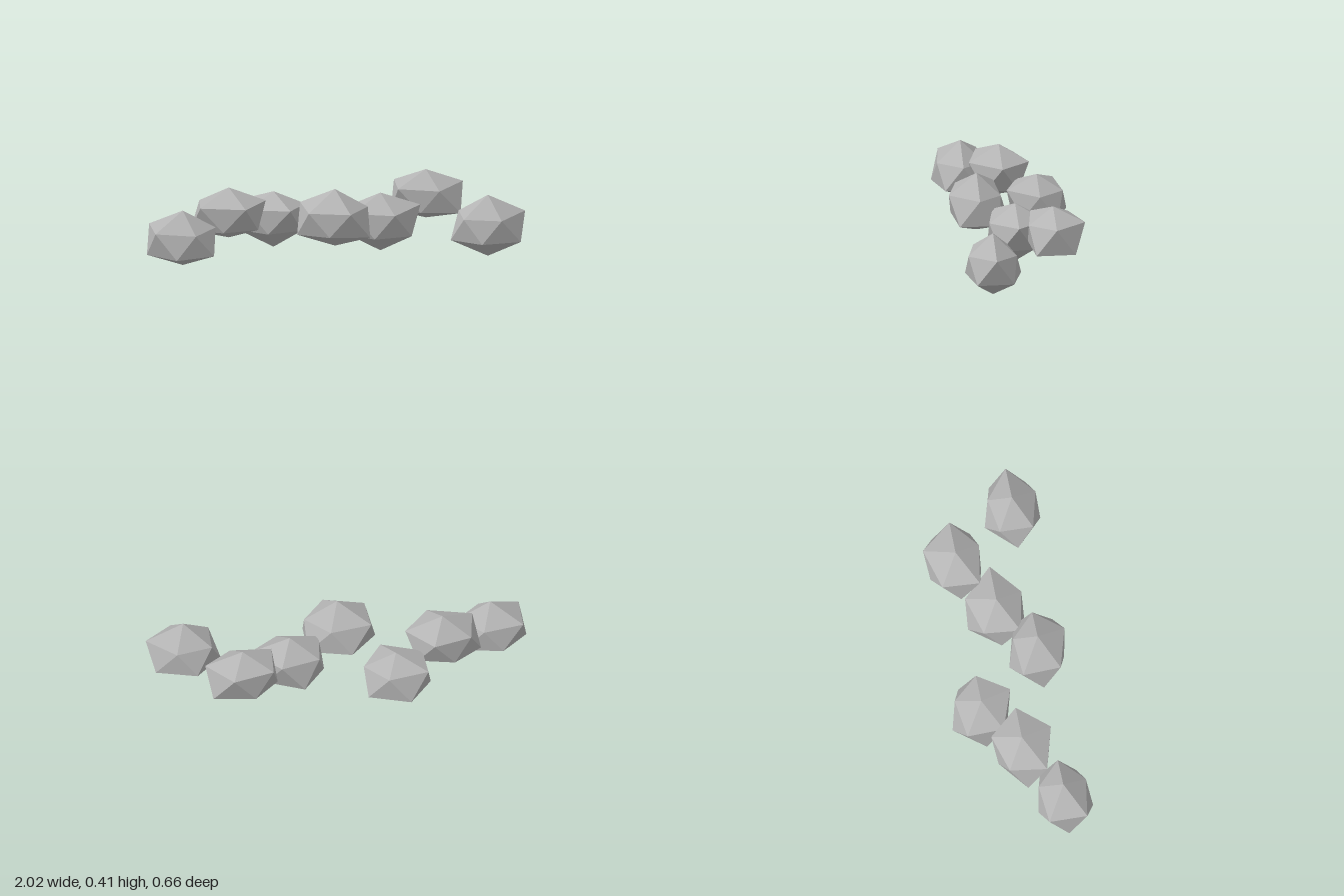
import * as THREE from 'three';

// Each rock: pole x, z, mid height, top y, bottom y,
// upper ring radii (every 72 degrees from +x towards +z), lower ring radii (from 36 degrees)
const ROCKS = [
  { x: -0.83, z: 0.18, mid: 0.17, top: 0.335, bottom: 0.035, up: [0.15, 0.135, 0.172, 0.172, 0.13], low: [0.16, 0.157, 0.164, 0.148, 0.167] },
  { x: -0.555, z: 0.005, mid: 0.243, top: 0.395, bottom: 0.12, up: [0.169, 0.174, 0.18, 0.15, 0.162], low: [0.15, 0.14, 0.175, 0.14, 0.15] },
  { x: -0.287, z: -0.167, mid: 0.17, top: 0.308, bottom: 0.002, up: [0.146, 0.174, 0.16, 0.17, 0.14], low: [0.145, 0.14, 0.158, 0.172, 0.165] },
  { x: -0.017, z: 0.18, mid: 0.243, top: 0.412, bottom: 0.1, up: [0.15, 0.161, 0.165, 0.178, 0.13], low: [0.18, 0.14, 0.173, 0.17, 0.177] },
  { x: 0.255, z: 0.005, mid: 0.172, top: 0.325, bottom: 0.007, up: [0.183, 0.15, 0.175, 0.155, 0.165], low: [0.16, 0.147, 0.155, 0.17, 0.147] },
  { x: 0.527, z: -0.167, mid: 0.243, top: 0.388, bottom: 0.122, up: [0.169, 0.14, 0.175, 0.163, 0.172], low: [0.178, 0.135, 0.16, 0.15, 0.176] },
  { x: 0.8, z: 0.18, mid: 0.17, top: 0.338, bottom: 0.002, up: [0.17, 0.142, 0.152, 0.15, 0.128], low: [0.168, 0.15, 0.17, 0.163, 0.165] },
];

const STRETCH_X = 1.17; // rocks are wider along x
const RING_RISE = 0.42; // ring height relative to its radius

// Irregular icosahedron: two poles and two staggered five-point rings
function rockGeometry({ mid, top, bottom, up, low }) {
  const ring = (radii, offset, sign) => radii.map((r, k) => {
    const a = ((k * 72 + offset) * Math.PI) / 180;
    return [STRETCH_X * r * Math.cos(a), mid + sign * RING_RISE * r, r * Math.sin(a)];
  });
  const u = ring(up, 0, 1);
  const l = ring(low, 36, -1);
  const positions = [];
  const tri = (...corners) => corners.forEach((c) => positions.push(...c));
  for (let k = 0; k < 5; k++) {
    const n = (k + 1) % 5;
    tri([0, top, 0], u[n], u[k]);
    tri(u[k], u[n], l[k]);
    tri(l[k], u[n], l[n]);
    tri([0, bottom, 0], l[k], l[n]);
  }
  const geometry = new THREE.BufferGeometry();
  geometry.setAttribute('position', new THREE.Float32BufferAttribute(positions, 3));
  geometry.computeVertexNormals();
  return geometry;
}

export function createModel() {
  const group = new THREE.Group();
  group.name = 'rockCluster';
  const stone = new THREE.MeshStandardMaterial({ color: 0xb4b4b4 });
  stone.name = 'stone grey';
  stone.flatShading = true;

  ROCKS.forEach((rock, i) => {
    const mesh = new THREE.Mesh(rockGeometry(rock), stone);
    mesh.name = `rock${i + 1}`;
    mesh.position.set(rock.x, 0, rock.z);
    group.add(mesh);
  });
  return group;
}
